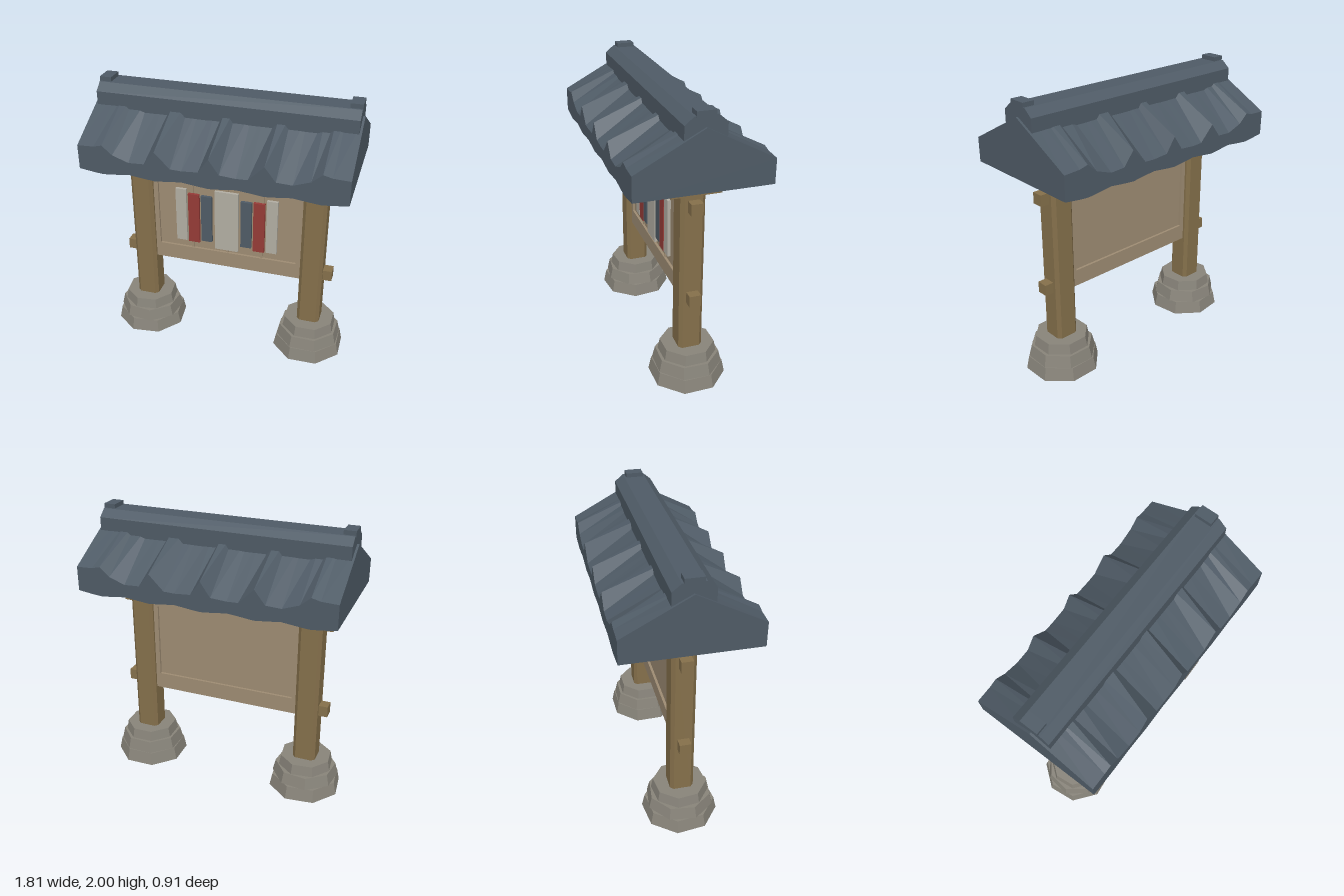
import * as THREE from 'three';

const mat = (name, color) => {
  const m = new THREE.MeshStandardMaterial({ color, flatShading: true });
  m.name = name;
  return m;
};

export function createModel() {
  const slate = mat('slate', 0x4f5b66);
  const wood = mat('wood', 0x85704b);
  const darkWood = mat('dark wood', 0x665030);
  const board = mat('board', 0x9e8c73);
  const stone = mat('stone', 0x88847a);
  const paper = mat('paper', 0xb2aea3);
  const red = mat('red', 0x963b37);

  const model = new THREE.Group();
  model.name = 'noticeBoard';
  const add = (name, geometry, material) => {
    const mesh = new THREE.Mesh(geometry, material);
    mesh.name = name;
    model.add(mesh);
    return mesh;
  };
  // Box given by its limits on each axis
  const box = (name, material, x0, x1, y0, y1, z0, z1) => {
    const mesh = add(name, new THREE.BoxGeometry(x1 - x0, y1 - y0, z1 - z0), material);
    mesh.position.set((x0 + x1) / 2, (y0 + y1) / 2, (z0 + z1) / 2);
    return mesh;
  };
  const poly = (pts) => new THREE.Shape(pts.map(([x, y]) => new THREE.Vector2(x, y)));
  const rect = (x, y0, y1) => [[-x, y0], [x, y0], [x, y1], [-x, y1]];

  // Stepped stone footings and chamfered posts with through pegs
  for (const s of [-1, 1]) {
    const cx = s * 0.637;
    const tiers = [[0, 0.095, 0.268, 0.248], [0.095, 0.18, 0.242, 0.222], [0.18, 0.255, 0.202, 0.188]];
    tiers.forEach(([y0, y1, r0, r1], i) => {
      const tier = add('footing', new THREE.CylinderGeometry(r1, r0, y1 - y0, 8), stone);
      tier.position.set(cx, (y0 + y1) / 2, 0);
      tier.rotation.y = Math.PI / 8 + (s < 0 ? 0.12 : 0.02) * (i === 1 ? -1 : 1);
    });

    const h = 0.083, c = 0.06;
    const section = poly([[-h, -c], [-c, -h], [c, -h], [h, -c], [h, c], [c, h], [-c, h], [-h, c]]);
    const post = add('post', new THREE.ExtrudeGeometry(section, { depth: 1.18, bevelEnabled: false })
      .rotateX(-Math.PI / 2), wood);
    post.position.set(cx, 0.24, 0);

    for (const y of [0.66, 1.325]) {
      const peg = box('peg', wood, -0.1, 0.1, -0.04, 0.04, -0.04, 0.04);
      peg.position.set(s * 0.685, y, 0);
    }
  }

  // Beam under the roof
  box('beam', wood, -0.76, 0.76, 1.41, 1.482, -0.17, 0.17);

  // Board: frame around a recessed panel, open to both sides
  const frame = poly(rect(0.56, 0.6, 1.38));
  frame.holes.push(poly(rect(0.52, 0.72, 1.27)));
  add('boardFrame', new THREE.ExtrudeGeometry(frame, { depth: 0.09, bevelEnabled: false })
    .translate(0, 0, -0.045), board);
  box('boardPanel', board, -0.53, 0.53, 0.71, 1.28, -0.027, 0.027);
  for (const x of [-0.265, 0, 0.26]) box('batten', board, x - 0.01, x + 0.01, 0.72, 1.27, 0.025, 0.036);

  // Plaques hung on the front
  const plaques = [
    [-0.342, 0.08, 0.785, 1.212, paper], [-0.247, 0.083, 0.78, 1.18, red], [-0.151, 0.08, 0.8, 1.175, slate],
    [0, 0.175, 0.75, 1.23, paper],
    [0.146, 0.08, 0.8, 1.175, slate], [0.241, 0.083, 0.78, 1.18, red], [0.336, 0.08, 0.785, 1.212, paper],
  ];
  for (const [x, w, y0, y1, m] of plaques) box('plaque', m, x - w / 2, x + w / 2, y0, y1, 0.034, 0.056);

  // Roof: gable sections along x; the eave sags between raised ribs
  const half = [[0, 1.68], [0.07, 1.58], [0.1825, 1.572], [0.26, 1.575], [0.365, 1.68], [0.44, 1.585],
    [0.5475, 1.58], [0.66, 1.62], [0.73, 1.68], [0.79, 1.665], [0.905, 1.66]];
  const stations = [...half.slice(1).reverse().map(([x, y]) => [-x, y]), ...half];
  const sections = stations.map(([x, eave]) => {
    const low = 1.481 - 0.01 * Math.cos((2 * Math.PI * x) / 0.365);
    return [[x, low, 0.453], [x, eave, 0.453], [x, 1.9, 0], [x, eave, -0.453], [x, low, -0.453]];
  });
  const top = [], under = [];
  for (let i = 0; i + 1 < sections.length; i++) {
    const a = sections[i], b = sections[i + 1];
    for (let k = 0; k < 5; k++) {
      const n = (k + 1) % 5;
      (k === 4 ? under : top).push(a[k], b[k], b[n], a[k], b[n], a[n]);
    }
  }
  const first = sections[0], last = sections[sections.length - 1];
  for (let k = 1; k < 4; k++) {
    top.push(first[0], first[k], first[k + 1], last[0], last[k + 1], last[k]);
  }
  const roof = new THREE.BufferGeometry();
  roof.setAttribute('position', new THREE.Float32BufferAttribute([...top, ...under].flat(), 3));
  roof.addGroup(0, top.length, 0);
  roof.addGroup(top.length, under.length, 1);
  roof.computeVertexNormals();
  add('roof', roof, [slate, darkWood]);

  // Ridge cap with a block at each end
  const cap = poly([[-0.135, 1.8], [0.135, 1.8], [0.135, 1.92], [0.075, 1.97], [-0.075, 1.97], [-0.135, 1.92]]);
  add('ridgeCap', new THREE.ExtrudeGeometry(cap, { depth: 1.78, bevelEnabled: false })
    .translate(0, 0, -0.89).rotateY(Math.PI / 2), slate);
  for (const s of [-1, 1]) {
    const block = box('ridgeBlock', slate, -0.041, 0.041, 1.96, 2, -0.062, 0.062);
    block.position.x = s * 0.852;
  }
  return model;
}
